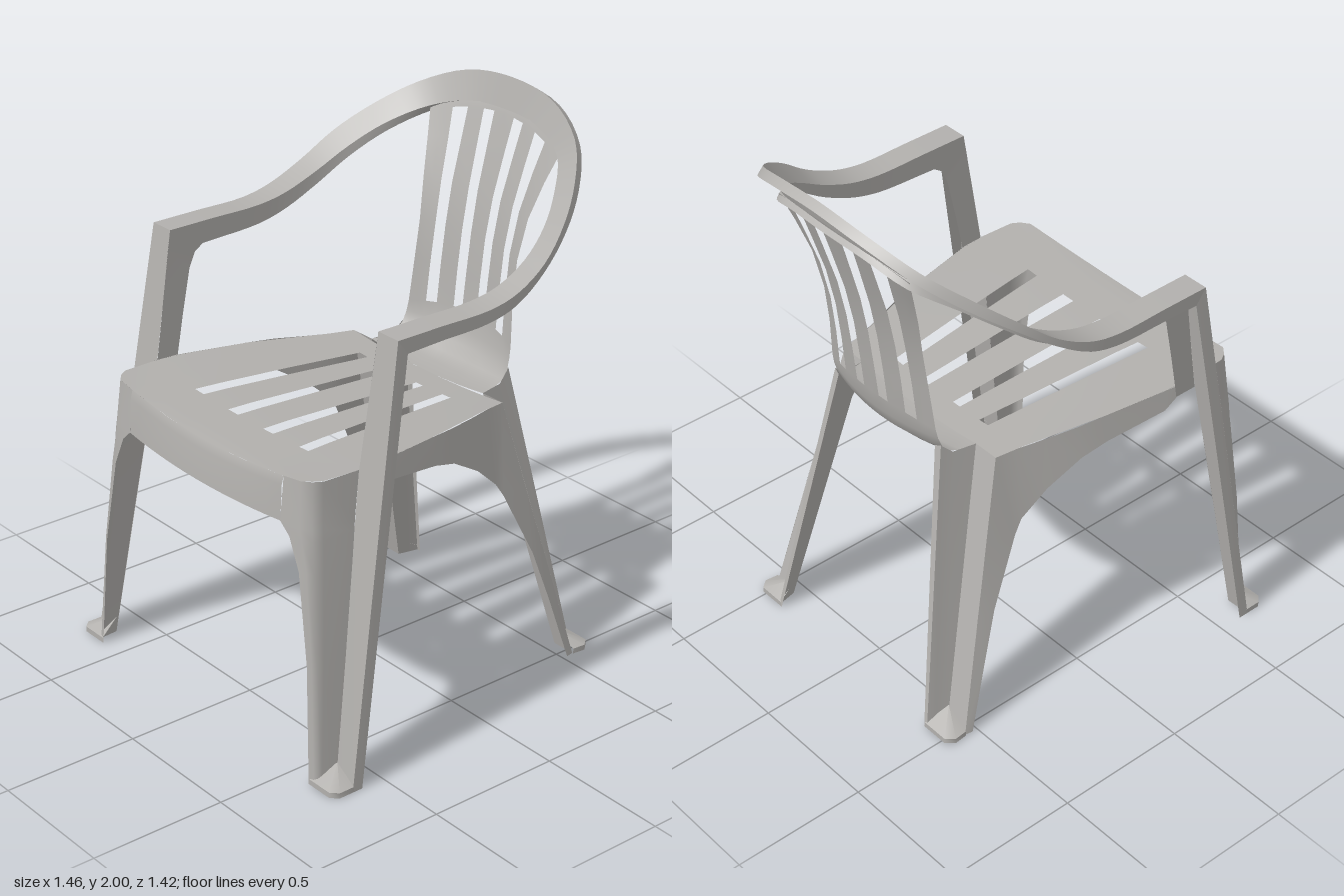
import * as THREE from 'three';

const plastic = new THREE.MeshStandardMaterial({ color: 0xb2b0ad, side: THREE.DoubleSide });
plastic.name = 'warm grey plastic';

// Skin a grid of points (rows of equal length); skip(r, c) leaves a cell open
function loft(rows, skip = () => false) {
  const n = rows[0].length, index = [];
  for (let r = 0; r < rows.length - 1; r++) {
    for (let c = 0; c < n - 1; c++) {
      if (skip(r, c)) continue;
      const a = r * n + c, b = a + 1, d = a + n, e = d + 1;
      index.push(a, d, b, b, d, e);
    }
  }
  const g = new THREE.BufferGeometry();
  g.setAttribute('position', new THREE.Float32BufferAttribute(rows.flat(2), 3));
  g.setIndex(index);
  g.computeVertexNormals();
  return g;
}

const flip = ([x, y, z]) => [-x, y, z];

export function createModel() {
  const chair = new THREE.Group();
  chair.name = 'armchair';
  const add = (name, geometry, parent = chair) => {
    const m = new THREE.Mesh(geometry, plastic);
    m.name = name;
    parent.add(m);
  };

  // Slotted panel. Row: y, z at the middle, rise and z shift at the edge,
  // then half widths: slot 1 in/out, slot 2 in/out, panel edge
  const panel = (data, slotFrom, slotTo) => loft(
    data.map(([y, z, dy, dz, a, b, c, d, e]) => {
      const half = [0, a, b, c, d, (d + e) / 2, e];
      const xs = [...half.slice(1).reverse().map(x => -x), ...half];
      return xs.map(x => {
        const k = (x / e) ** 2;
        return [x, y + dy * k, z + dz * k];
      });
    }),
    (r, c) => r >= slotFrom && r < slotTo && [2, 4, 7, 9].includes(c));

  add('seat', panel([
    [1.035, 0.675, 0.03, -0.02, 0.07, 0.125, 0.27, 0.32, 0.50],
    [1.037, 0.645, 0.03, -0.015, 0.07, 0.125, 0.27, 0.32, 0.53],
    [1.037, 0.60, 0.03, 0, 0.07, 0.125, 0.267, 0.316, 0.548],
    [1.035, 0.475, 0.03, 0, 0.07, 0.123, 0.264, 0.312, 0.555],
    [1.033, 0.38, 0.03, 0, 0.068, 0.12, 0.255, 0.303, 0.552],
    [1.02, 0.10, 0.03, 0, 0.066, 0.11, 0.23, 0.276, 0.50],
    [1.005, -0.20, 0.022, 0, 0.064, 0.10, 0.202, 0.245, 0.42],
    [1.0, -0.30, 0.02, 0, 0.06, 0.095, 0.19, 0.23, 0.40],
  ], 3, 6));

  add('backrest', panel([
    [1.0, -0.30, 0.02, 0, 0.05, 0.09, 0.17, 0.21, 0.30],
    [1.0, -0.38, 0.02, 0.02, 0.045, 0.085, 0.165, 0.21, 0.29],
    [1.015, -0.435, 0.02, 0.03, 0.04, 0.085, 0.16, 0.205, 0.285],
    [1.05, -0.468, 0.01, 0.04, 0.04, 0.085, 0.16, 0.205, 0.28],
    [1.10, -0.487, 0, 0.045, 0.04, 0.083, 0.16, 0.205, 0.275],
    [1.17, -0.50, -0.03, 0.05, 0.038, 0.08, 0.157, 0.203, 0.272],
    [1.30, -0.515, 0, 0.05, 0.037, 0.08, 0.155, 0.198, 0.26],
    [1.45, -0.535, 0, 0.05, 0.037, 0.08, 0.154, 0.195, 0.256],
    [1.60, -0.565, 0, 0.05, 0.04, 0.083, 0.158, 0.203, 0.273],
    [1.75, -0.608, -0.02, 0.05, 0.045, 0.092, 0.165, 0.22, 0.303],
    [1.875, -0.645, -0.06, 0.055, 0.05, 0.10, 0.172, 0.237, 0.328],
    [1.90, -0.655, -0.07, 0.06, 0.05, 0.10, 0.173, 0.24, 0.333],
  ], 5, 10));

  // Arms and top rail: one channel, given from the middle to the arm front.
  // Key: outer edge, inner edge, outer lip offset, inner lip offset (y, z)
  const keys = [
    [[0, 2.0, -0.68], [0, 1.89, -0.65], [-0.02, -0.03], [-0.01, -0.02]],
    [[0.22, 1.975, -0.665], [0.17, 1.88, -0.638], [-0.02, -0.03], [-0.01, -0.02]],
    [[0.40, 1.90, -0.60], [0.33, 1.83, -0.585], [-0.025, -0.025], [-0.02, -0.02]],
    [[0.52, 1.81, -0.49], [0.44, 1.76, -0.475], [-0.03, -0.02], [-0.03, -0.01]],
    [[0.60, 1.715, -0.37], [0.51, 1.68, -0.365], [-0.03, -0.01], [-0.04, 0]],
    [[0.64, 1.62, -0.25], [0.545, 1.605, -0.25], [-0.03, 0], [-0.05, 0]],
    [[0.655, 1.555, -0.12], [0.558, 1.55, -0.12], [-0.04, 0], [-0.06, 0]],
    [[0.657, 1.53, 0], [0.56, 1.53, 0], [-0.045, 0], [-0.07, 0]],
    [[0.657, 1.53, 0.20], [0.56, 1.53, 0.20], [-0.05, 0], [-0.08, 0]],
    [[0.657, 1.53, 0.385], [0.56, 1.53, 0.385], [-0.055, -0.04], [-0.085, -0.04]],
  ];
  const sweep = pick => {
    const half = keys.map(pick);
    const pts = [...half.slice(1).reverse().map(flip), ...half];
    const curve = new THREE.CatmullRomCurve3(pts.map(p => new THREE.Vector3(...p)));
    return curve.getPoints(72).map(p => p.toArray());
  };
  const lip = (p, [dy, dz]) => [p[0], p[1] + dy, p[2] + dz];
  const outer = sweep(k => k[0]), inner = sweep(k => k[1]);
  add('armAndTopRail', loft([outer, inner]));
  add('railOuterLip', loft([sweep(k => lip(k[0], k[2])), outer]));
  add('railInnerLip', loft([inner, sweep(k => lip(k[1], k[3]))]));

  // Front apron under the seat edge
  const xs = Array.from({ length: 13 }, (_, i) => -0.42 + 0.07 * i);
  add('frontApron', loft([[0, 0], [0.03, 0.013], [0.145, 0.025]].map(([drop, out]) => xs.map(x => {
    const k = (x / 0.5) ** 2;
    return [x, 1.035 + 0.03 * k - drop - (drop > 0.1 ? 0.017 * k : 0),
      0.675 - 0.02 * k + out * (1 - 0.5 * k)];
  }))));

  for (const s of [1, -1]) {
    const side = new THREE.Group();
    side.name = s > 0 ? 'leftSide' : 'rightSide';
    chair.add(side);
    const sheet = (name, rows) =>
      add(name, loft(rows.map(r => (s > 0 ? r : r.map(flip)))), side);

    // Front leg: forward-facing strip with a lip behind its outer edge
    const legOuter = [[0.657, 1.53, 0.385], [0.73, 0, 0.63]];
    const legInner = [[0.56, 1.53, 0.385], [0.555, 1.05, 0.462], [0.637, 0, 0.625]];
    sheet('frontLegStrip', [
      [legOuter[0], legInner[0]],
      [[0.68, 1.05, 0.462], legInner[1]],
      [legOuter[1], legInner[2]],
    ]);
    sheet('frontLegOuterLip', [
      [[0.657, 1.475, 0.345], legOuter[0]],
      [[0.73, 0, 0.59], legOuter[1]],
    ]);
    // Web between arm, front leg and seat
    sheet('armWeb', [
      [[0.56, 1.53, 0.27], [0.56, 1.447, 0.25]],
      [[0.56, 1.53, 0.385], [0.56, 1.425, 0.283]],
      [[0.56, 1.46, 0.397], [0.56, 1.37, 0.308]],
      [[0.557, 1.2, 0.437], [0.557, 1.2, 0.345]],
      [[0.555, 1.02, 0.466], [0.555, 1.02, 0.38]],
    ]);
    // Rounded front corner, flowing from the apron into the leg
    sheet('frontLegCorner', [
      [[0.555, 1.065, 0.46], [0.548, 1.065, 0.60], [0.53, 1.065, 0.63], [0.50, 1.065, 0.655], [0.42, 1.056, 0.661]],
      [[0.567, 0.90, 0.487], [0.558, 0.90, 0.61], [0.545, 0.90, 0.645], [0.51, 0.90, 0.668], [0.42, 0.90, 0.678]],
      [[0.57, 0.86, 0.492], [0.562, 0.86, 0.612], [0.55, 0.86, 0.648], [0.52, 0.86, 0.668], [0.465, 0.86, 0.676]],
      [[0.58, 0.75, 0.508], [0.572, 0.75, 0.62], [0.563, 0.75, 0.652], [0.545, 0.75, 0.67], [0.515, 0.75, 0.678]],
      [[0.606, 0.43, 0.558], [0.60, 0.43, 0.645], [0.597, 0.43, 0.67], [0.587, 0.43, 0.685], [0.57, 0.43, 0.692]],
      [[0.637, 0, 0.625], [0.632, 0, 0.68], [0.628, 0, 0.695], [0.618, 0, 0.705], [0.597, 0, 0.71]],
    ]);

    // Side skirt sweeping down into the rear leg
    sheet('sideSkirtAndRearLeg', [
      [[0.555, 1.065, 0.46], [0.555, 1.02, 0.385]],
      [[0.545, 1.062, 0.35], [0.553, 0.985, 0.33]],
      [[0.50, 1.05, 0.10], [0.515, 0.95, 0.10]],
      [[0.48, 1.043, 0], [0.497, 0.92, 0]],
      [[0.445, 1.032, -0.12], [0.47, 0.84, -0.13]],
      [[0.415, 1.025, -0.22], [0.452, 0.75, -0.23]],
      [[0.40, 1.02, -0.30], [0.457, 0.70, -0.262]],
      [[0.44, 0.70, -0.378], [0.487, 0.45, -0.38]],
      [[0.475, 0.43, -0.445], [0.51, 0.25, -0.445]],
      [[0.53, 0, -0.55], [0.535, 0, -0.52]],
    ]);
    // Rear leg: backward-facing strip, then a web to the rear edge and its lip
    const foot = [0.437, 0, -0.55], rear = [0.28, 1.07, -0.435], rearFoot = [0.42, 0, -0.63];
    sheet('rearLegStrip', [[[0.40, 1.02, -0.30], [0.30, 1.02, -0.30]], [[0.53, 0, -0.55], foot]]);
    sheet('rearLegWeb', [[[0.30, 1.02, -0.30], [0.287, 1.025, -0.39], rear],
      [foot, [0.427, 0, -0.595], rearFoot]]);
    sheet('rearLegLip', [[rear, [0.255, 1.06, -0.44]], [rearFoot, [0.405, 0, -0.63]]]);

    // Feet: sloped cap in the leg's corner with a low rim
    const cap = (name, apex, rim) => {
      const at = y => rim.map(([x, z]) => [x, y, z]);
      sheet(name, [rim.map(() => apex), at(0.02)]);
      sheet(name + 'Rim', [at(0.02), at(0)]);
    };
    cap('frontFoot', [0.635, 0.065, 0.618], [[0.73, 0.625], [0.73, 0.685], [0.705, 0.71], [0.60, 0.71]]);
    cap('rearFoot', [0.432, 0.065, -0.54], [[0.535, -0.55], [0.54, -0.60], [0.515, -0.63], [0.41, -0.63]]);
  }
  return chair;
}
